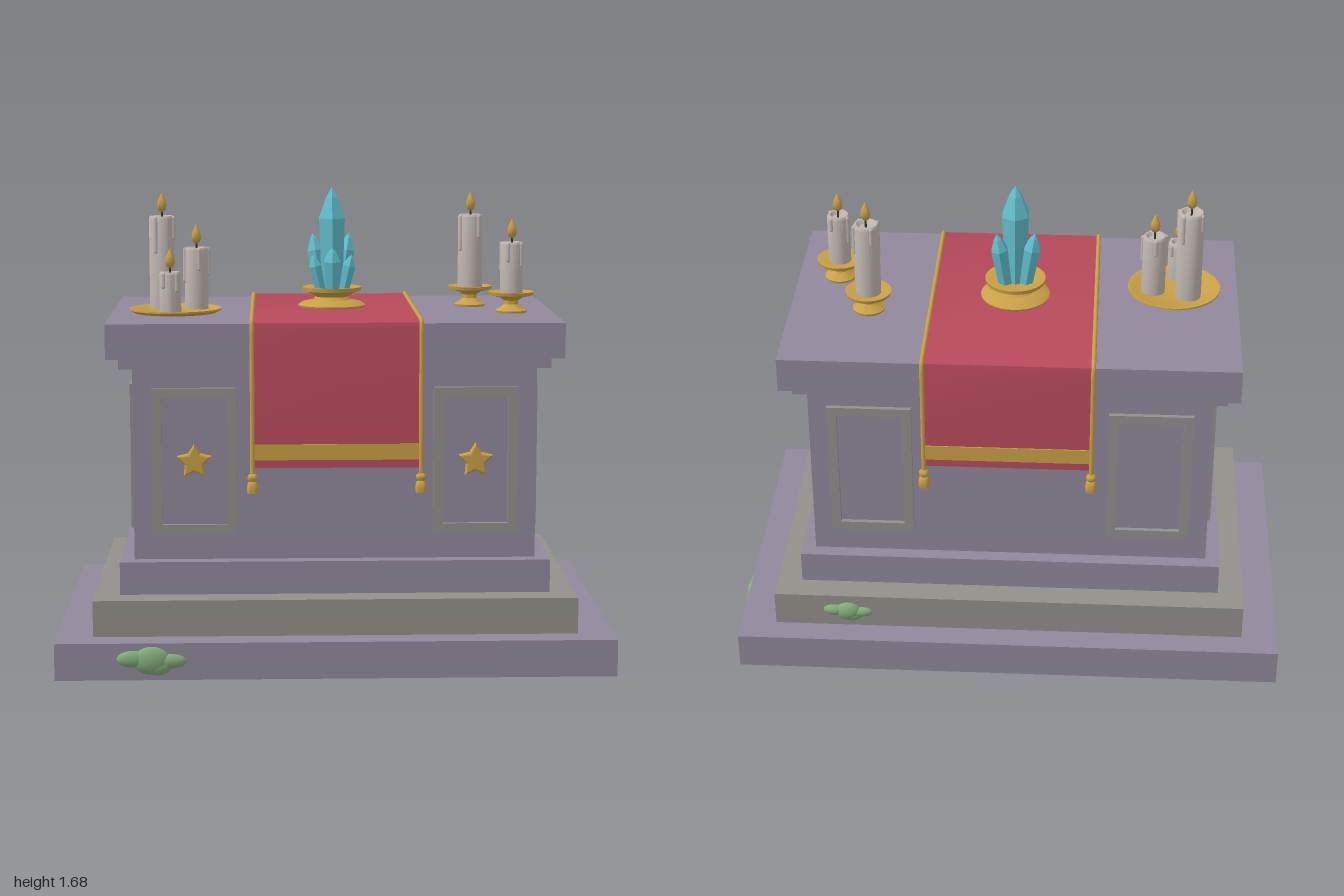
import * as THREE from 'three';
import { toCreasedNormals } from 'three/addons/utils/BufferGeometryUtils.js';

const mat = (name, color) => Object.assign(new THREE.MeshStandardMaterial({ color }), { name });
const V2 = (x, y) => new THREE.Vector2(x, y);
const V3 = (x, y, z) => new THREE.Vector3(x, y, z);

export function createModel() {
  const stone = mat('stone', 0x91899c), trim = mat('trim stone', 0x938f8a);
  const red = mat('red cloth', 0xb84a5c), gold = mat('gold', 0xc9a046);
  const wax = mat('wax', 0xbfb5b0), crystal = mat('crystal', 0x62bfce);
  const moss = mat('moss', 0x82ab7a), wickMat = mat('wick', 0x3a3230);
  const root = new THREE.Group();
  root.name = 'altar';
  const cx = -0.013, cz = -0.012; // axis of the stonework

  function add(name, geo, m, x = 0, y = 0, z = 0, parent = root) {
    const mesh = new THREE.Mesh(geo, m);
    mesh.name = name;
    mesh.position.set(x, y, z);
    parent.add(mesh);
    return mesh;
  }
  const group = (name, x = 0, y = 0, z = 0) => {
    const g = new THREE.Group();
    g.name = name;
    g.position.set(x, y, z);
    root.add(g);
    return g;
  };
  const lathe = (pts, n = 32, crease = 0.6) =>
    toCreasedNormals(new THREE.LatheGeometry(pts.map(p => V2(...p)), n), crease);

  // Stacked stone slabs: name, width, depth, bottom, top
  for (const [name, w, d, y0, y1, m] of [
    ['baseSlab', 1.974, 1.25, 0, 0.132, stone],
    ['lowerStep', 1.716, 1.068, 0.132, 0.262, trim],
    ['upperStep', 1.534, 0.884, 0.262, 0.38, stone],
    ['body', 1.434, 0.784, 0.38, 1.07, stone],
    ['cornice', 1.524, 0.876, 1.07, 1.11, stone],
    ['tableTop', 1.608, 0.964, 1.11, 1.235, stone],
  ]) add(name, new THREE.BoxGeometry(w, y1 - y0, d), m, cx, (y0 + y1) / 2, cz);

  // Raised rectangular panel frames
  function frame(name, w, x, z, turn) {
    const h = 0.525, t = 0.034;
    const rect = (a, b, P) => {
      const p = new P();
      p.moveTo(-a, -b); p.lineTo(a, -b); p.lineTo(a, b); p.lineTo(-a, b); p.closePath();
      return p;
    };
    const s = rect(w / 2, h / 2, THREE.Shape);
    s.holes.push(rect(w / 2 - t, h / 2 - t, THREE.Path));
    const geo = new THREE.ExtrudeGeometry(s, { depth: 0.02, bevelEnabled: false });
    add(name, geo, trim, x, 0.736, z).rotation.y = turn;
  }
  for (const s of [-1, 1]) {
    frame('frontFrame', 0.3, cx + s * 0.5, cz + 0.388, 0);
    frame('backFrame', 0.3, cx + s * 0.5, cz - 0.388, Math.PI);
    frame('sideFrame', 0.568, cx + s * 0.713, cz, s * Math.PI / 2);
  }

  // Puffy stars: five points rising to a ridge in the middle
  const star = new THREE.Shape();
  for (let i = 0; i < 10; i++) {
    const a = Math.PI / 2 + i * Math.PI / 5, r = i % 2 ? 0.026 : 0.052;
    star[i ? 'lineTo' : 'moveTo'](Math.cos(a) * r, Math.sin(a) * r);
  }
  star.closePath();
  const starGeo = new THREE.ExtrudeGeometry(star, {
    depth: 0.012, bevelThickness: 0.01, bevelSize: 0.009, bevelSegments: 3,
  });
  for (const s of [-1, 1]) add('star', starGeo, gold, cx + s * 0.5, 0.735, cz + 0.395);

  // Cloth runner: thin profile over the table, swept along x
  const clothX = -0.01, clothW = 0.596;
  const outer = [[0.486, 0.728], [0.479, 1.215], [0.474, 1.238], [0.462, 1.246],
    [-0.486, 1.246], [-0.498, 1.238], [-0.503, 1.215], [-0.51, 0.825]];
  const inner = [[-0.502, 0.825], [-0.496, 1.21], [-0.495, 1.236], [0.471, 1.236], [0.472, 1.21], [0.478, 0.728]];
  const profile = new THREE.Shape([...outer, ...inner].map(p => V2(...p)));
  const clothGeo = new THREE.ExtrudeGeometry(profile, { depth: clothW, bevelEnabled: false });
  clothGeo.translate(0, 0, -clothW / 2).rotateY(-Math.PI / 2);
  add('clothRunner', toCreasedNormals(clothGeo, 0.7), red, clothX);
  add('frontBand', new THREE.BoxGeometry(clothW, 0.056, 0.006), gold, clothX, 0.784, 0.4855);
  add('backBand', new THREE.BoxGeometry(clothW, 0.056, 0.006), gold, clothX, 0.881, -0.5095);

  // Edge cords with a tassel at each end
  const tasselGeo = lathe([[0, -0.066], [0.019, -0.066], [0.021, -0.05], [0.017, -0.03], [0.011, -0.024],
    [0.018, -0.014], [0.017, -0.004], [0.008, 0.003], [0, 0.004]], 14, 0.9);
  for (const s of [-1, 1]) {
    const x = clothX + s * 0.296;
    const pts = [[0.488, 0.7], ...outer.slice(1, 7), [-0.511, 0.8]];
    const path = new THREE.CurvePath();
    for (let i = 1; i < pts.length; i++) {
      const [a, b] = [pts[i - 1], pts[i]];
      path.add(new THREE.LineCurve3(V3(x, a[1], a[0]), V3(x, b[1], b[0])));
    }
    add('edgeCord', new THREE.TubeGeometry(path, 150, 0.008, 8), gold);
    add('tassel', tasselGeo, gold, x, 0.705, 0.488);
    add('tassel', tasselGeo, gold, x, 0.806, -0.511);
  }

  // Crystal cluster on its dish
  const cluster = group('crystalCluster', -0.013, 1.245, -0.01);
  add('crystalStand', lathe([[0, 0], [0.122, 0], [0.125, 0.008], [0.11, 0.018], [0.07, 0.027], [0.06, 0.038],
    [0.075, 0.05], [0.107, 0.06], [0.109, 0.074], [0.095, 0.074], [0.06, 0.066], [0, 0.064]]), gold, 0, 0, 0, cluster);
  const shard = (r, h) => lathe([[0, 0], [r * 0.8, 0], [r, h * 0.7], [r * 0.45, h * 0.9], [0, h]], 6, 0.1);
  add('mainCrystal', shard(0.054, 0.38), crystal, 0, 0.06, 0, cluster);
  // angle around y, offset, radius, height, lean
  for (const [a, d, r, h, lean] of [[90, 0.04, 0.034, 0.165, 0.14], [205, 0.042, 0.033, 0.215, 0.17],
    [325, 0.042, 0.033, 0.215, 0.17], [155, 0.046, 0.026, 0.14, 0.24], [25, 0.046, 0.026, 0.14, 0.24]]) {
    const t = a * Math.PI / 180, c = Math.cos(t), s = Math.sin(t);
    add('sideCrystal', shard(r, h), crystal, c * d, 0.058, s * d, cluster)
      .quaternion.setFromAxisAngle(V3(s, 0, -c), lean);
  }

  // Candles: hollow-topped wax, drips, wick and flame
  function candle(x, y, z, r, h, turn) {
    const g = group('candle', x, y, z);
    add('waxBody', lathe([[0, 0], [r, 0], [r, h - 0.008], [r - 0.005, h], [r - 0.012, h],
      [r * 0.5, h - 0.012], [0, h - 0.014]], 24), wax, 0, 0, 0, g);
    [0.3, 0.5, 0.22, 0.4].forEach((f, i) => {
      const a = turn + i * 1.65, len = Math.min(h, 0.24) * f;
      add('drip', new THREE.CapsuleGeometry(0.008, len, 4, 8), wax,
        Math.cos(a) * r * 0.97, h - 0.008 - len / 2, Math.sin(a) * r * 0.97, g);
    });
    add('wick', new THREE.CylinderGeometry(0.004, 0.004, 0.035, 6), wickMat, 0, h, 0, g);
    add('flame', lathe([[0, 0], [0.012, 0.008], [0.018, 0.024], [0.014, 0.044], [0.006, 0.062], [0, 0.074]], 12, 1),
      gold, 0, h + 0.011, 0, g);
  }
  add('candlePlate', lathe([[0, 0], [0.15, 0], [0.168, 0.01], [0.168, 0.016], [0.158, 0.016], [0.148, 0.01], [0, 0.01]], 40),
    gold, -0.587, 1.235, 0.075);
  candle(-0.636, 1.245, 0.02, 0.047, 0.338, 0.4);
  candle(-0.51, 1.245, 0.05, 0.043, 0.225, 1.3);
  candle(-0.602, 1.245, 0.158, 0.039, 0.145, 2.2);

  // Footed candlesticks
  const stick = lathe([[0, 0], [0.056, 0], [0.058, 0.008], [0.04, 0.018], [0.026, 0.03], [0.026, 0.044],
    [0.045, 0.056], [0.08, 0.064], [0.083, 0.076], [0.074, 0.076], [0.05, 0.07], [0, 0.07]]);
  for (const [x, z, r, h, turn] of [[0.508, -0.12, 0.046, 0.273, 0.9], [0.638, 0.115, 0.041, 0.187, 2]]) {
    add('candlestick', stick, gold, x, 1.235, z);
    candle(x, 1.305, z, r, h, turn);
  }

  // Flattened moss patches clinging to the stone
  const blob = new THREE.SphereGeometry(1, 20, 14);
  function mossPatch(x, y, z, turn, k) {
    const g = group('mossPatch', x, y, z);
    g.rotation.y = turn;
    g.scale.set(k, k, 1);
    for (const [bx, by, rx, ry, rz] of [[0, 0, 0.065, 0.05, 0.026], [-0.065, 0.006, 0.058, 0.03, 0.02],
      [0.066, -0.002, 0.056, 0.026, 0.02], [0.02, -0.02, 0.05, 0.032, 0.022]])
      add('mossLump', blob, moss, bx, by, 0, g).scale.set(rx, ry, rz);
  }
  mossPatch(-0.66, 0.07, 0.613, 0, 1);
  mossPatch(0.974, 0.065, -0.27, Math.PI / 2, 0.88);
  mossPatch(0.575, 0.197, -0.546, Math.PI, 0.74);

  return root;
}
